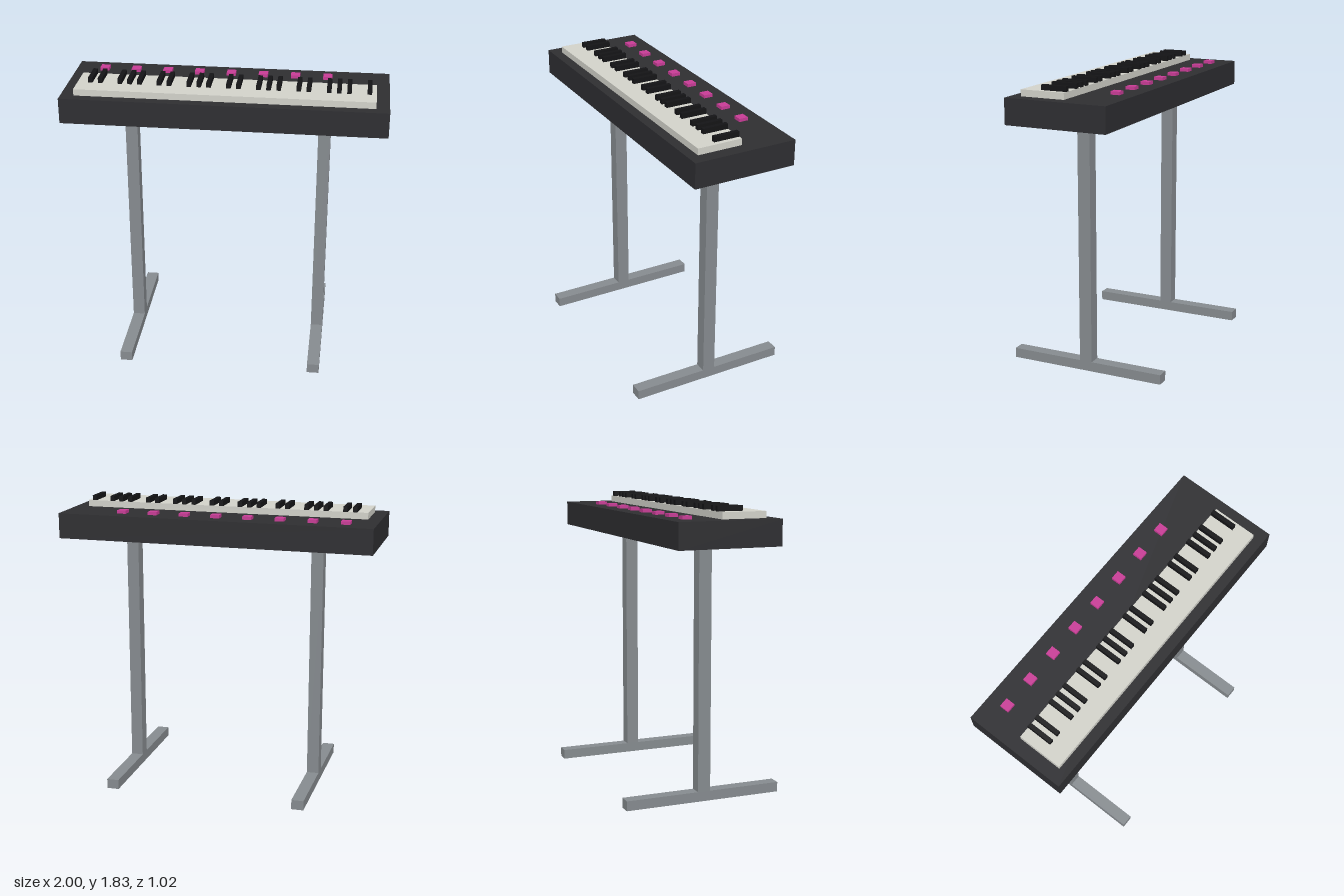
import * as THREE from 'three';

const material = (color) => new THREE.MeshStandardMaterial({ color });

export function createModel() {
  const model = new THREE.Group();
  model.name = 'keyboardOnStand';

  const caseMat = material(0x2e2e31);
  const whiteMat = material(0xd2d2ca);
  const blackMat = material(0x141416);
  const buttonMat = material(0xc83c96);
  const standMat = material(0x868b8f);

  // Box given by its extents along each axis
  function box(name, mat, [x0, x1], [y0, y1], [z0, z1], parent = model) {
    const mesh = new THREE.Mesh(new THREE.BoxGeometry(x1 - x0, y1 - y0, z1 - z0), mat);
    mesh.position.set((x0 + x1) / 2, (y0 + y1) / 2, (z0 + z1) / 2);
    mesh.name = name;
    parent.add(mesh);
  }
  const span = (centre, width) => [centre - width / 2, centre + width / 2];

  // Case and the bed of white keys
  box('case', caseMat, [-1, 1], [1.597, 1.757], [-0.326, 0.326]);
  box('whiteKeys', whiteMat, [-0.918, 0.918], [1.757, 1.798], [-0.02, 0.263]);

  // Black keys in groups of two and three
  const blackKeys = new THREE.Group();
  blackKeys.name = 'blackKeys';
  model.add(blackKeys);
  for (let i = 0; i < 29; i++) {
    if (i % 7 === 2 || i % 7 === 6) continue;
    box('blackKey', blackMat, span(-0.837 + i * 0.0612, 0.027), [1.798, 1.83], [-0.02, 0.143], blackKeys);
  }

  // Row of control buttons
  const buttons = new THREE.Group();
  buttons.name = 'buttons';
  model.add(buttons);
  for (let i = 0; i < 8; i++) {
    box('button', buttonMat, span(-0.816 + i * 0.204, 0.057), [1.757, 1.777], [-0.234, -0.176], buttons);
  }

  // Stand: a post on a long foot at each side
  for (const side of [-1, 1]) {
    const leg = new THREE.Group();
    leg.name = side > 0 ? 'leftLeg' : 'rightLeg';
    model.add(leg);
    const x = span(side * 0.612, 0.077);
    box('post', standMat, x, [0.062, 1.597], [-0.041, 0.041], leg);
    box('foot', standMat, x, [0, 0.062], [-0.51, 0.51], leg);
  }

  return model;
}
